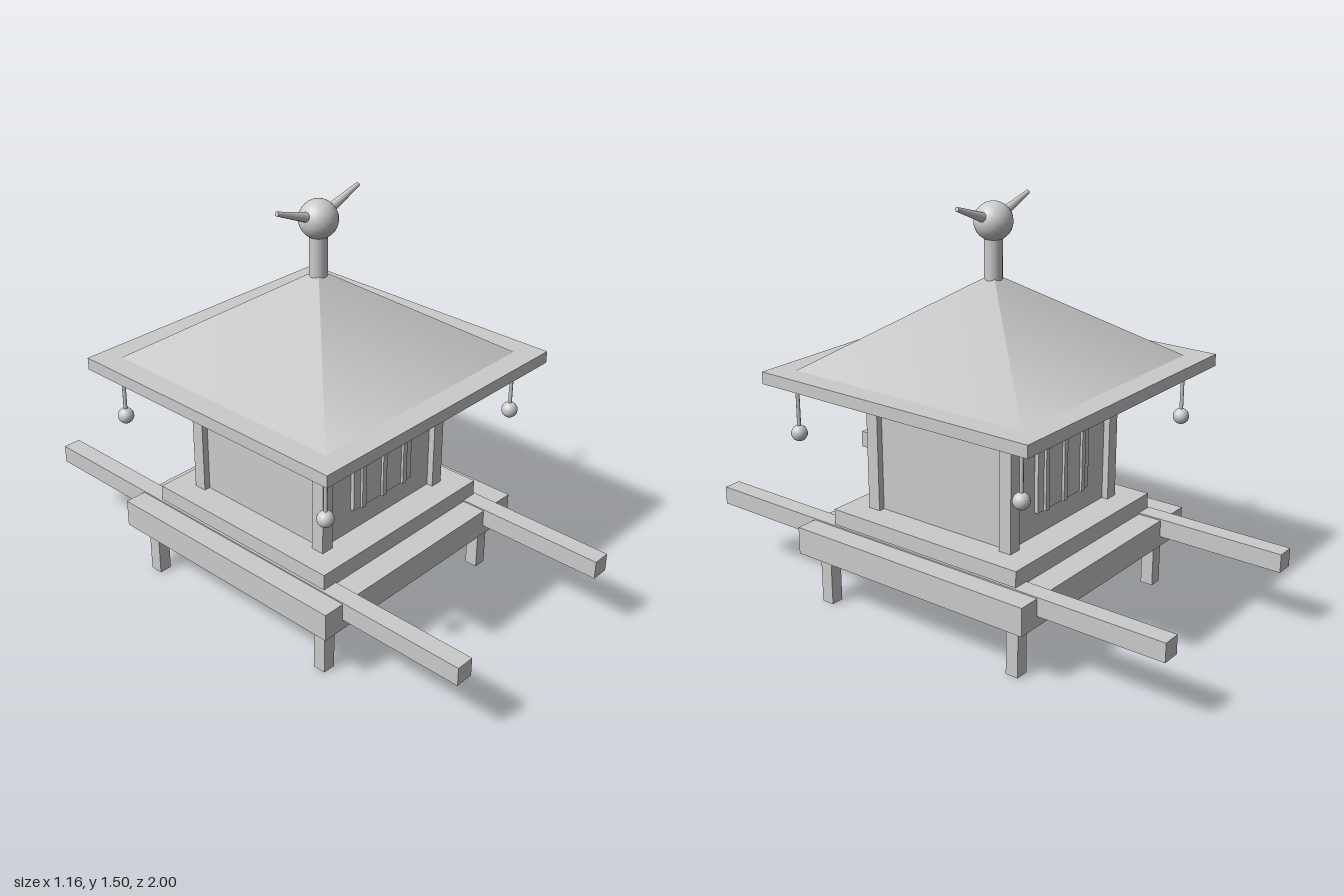
import * as THREE from 'three';

export function createModel() {
  const model = new THREE.Group();
  const material = new THREE.MeshStandardMaterial({ color: 0xcccccc });

  function add(name, geometry, x, y, z) {
    const mesh = new THREE.Mesh(geometry, material);
    mesh.name = name;
    mesh.position.set(x, y, z);
    model.add(mesh);
    return mesh;
  }
  // Box centred on x, z and spanning bottom to top
  const box = (name, w, bottom, top, d, x = 0, z = 0) =>
    add(name, new THREE.BoxGeometry(w, top - bottom, d), x, (bottom + top) / 2, z);

  // Stepped base, walls and eaves
  box('base', 1.02, 0.2, 0.305, 1.02);
  box('upperStep', 0.83, 0.305, 0.37, 0.83);
  box('walls', 0.6, 0.37, 0.865, 0.6);
  box('eaves', 1.16, 0.865, 0.91, 1.16);

  // Four-sided roof with softly blended slopes
  const roof = new THREE.ConeGeometry(0.495 * Math.SQRT2, 0.33, 4);
  roof.rotateY(Math.PI / 4);
  add('roof', roof, 0, 1.075, 0);

  // Legs, corner posts and hanging bells at each corner
  for (const sx of [-1, 1]) {
    for (const sz of [-1, 1]) {
      box('leg', 0.05, 0, 0.2, 0.05, sx * 0.43, sz * 0.43);
      box('cornerPost', 0.05, 0.37, 0.865, 0.05, sx * 0.3, sz * 0.3);
      add('bellCord', new THREE.CylinderGeometry(0.007, 0.007, 0.17, 8), sx * 0.495, 0.78, sz * 0.495);
      add('bell', new THREE.SphereGeometry(0.03, 16, 12), sx * 0.495, 0.675, sz * 0.495);
    }
    // Long carrying poles
    box('carryingPole', 0.07, 0.24, 0.31, 2, sx * 0.39);
  }

  // Barred panels on the front and back
  for (const sz of [-1, 1]) {
    box('doorPanel', 0.31, 0.46, 0.79, 0.03, 0, sz * 0.3);
    for (const x of [-0.11, 0, 0.11]) box('doorBar', 0.02, 0.46, 0.79, 0.025, x, sz * 0.3125);
  }

  // Finial with ball and two raised wings
  add('finialPost', new THREE.CylinderGeometry(0.033, 0.033, 0.2, 20), 0, 1.3, 0);
  add('finialBall', new THREE.SphereGeometry(0.07, 24, 16), 0, 1.425, 0);
  for (const sx of [-1, 1]) {
    const root = new THREE.Vector3(sx * 0.03, 1.436, 0);
    const tip = new THREE.Vector3(sx * 0.2, 1.497, 0);
    const along = tip.clone().sub(root);
    const wing = add('finialWing', new THREE.CylinderGeometry(0.008, 0.02, along.length(), 12), 0, 0, 0);
    wing.position.copy(root).lerp(tip, 0.5);
    wing.quaternion.setFromUnitVectors(new THREE.Vector3(0, 1, 0), along.normalize());
  }

  return model;
}
